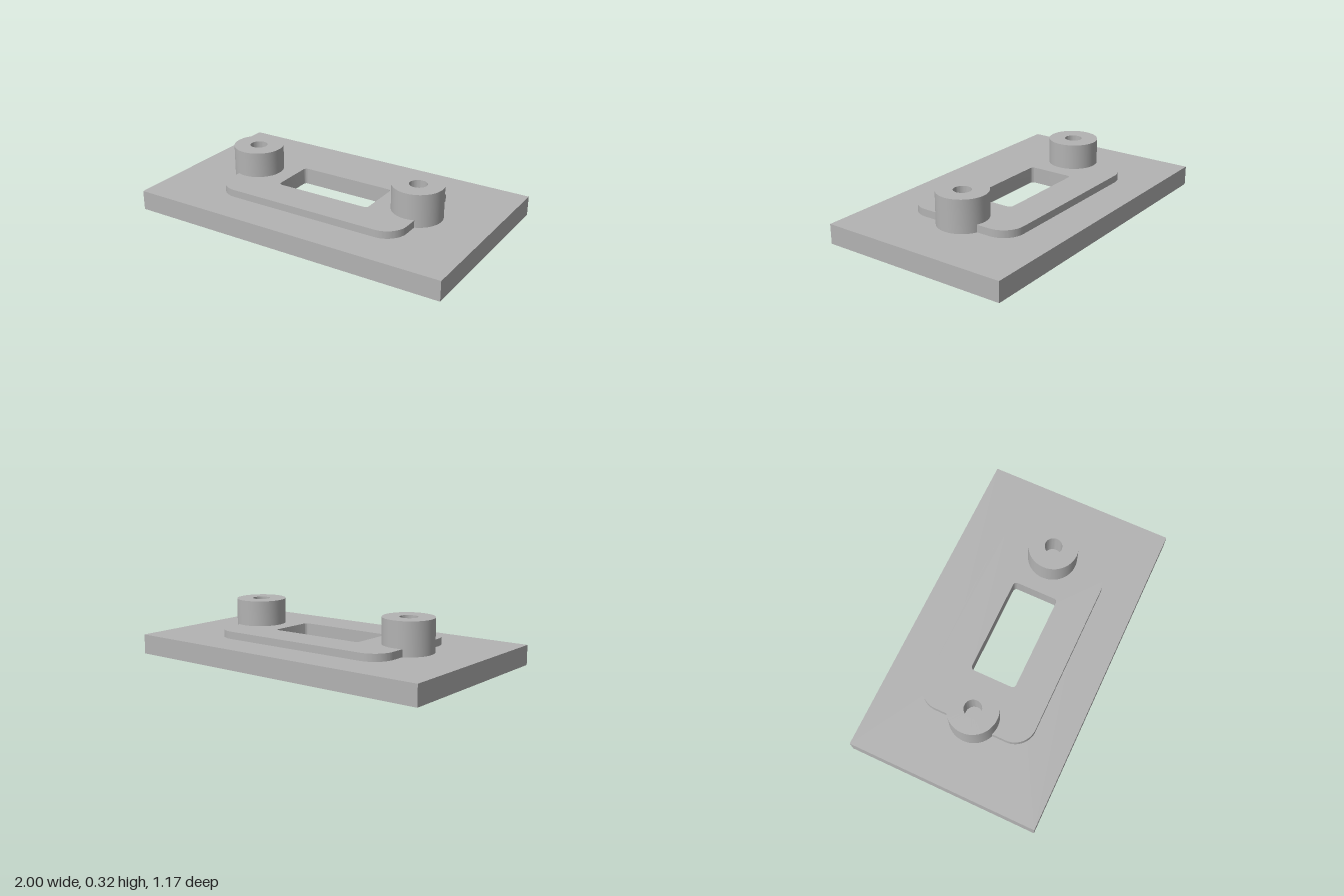
import * as THREE from 'three';
import { toCreasedNormals } from 'three/addons/utils/BufferGeometryUtils.js';

const grey = new THREE.MeshStandardMaterial({ color: 0xb3b3b3 });
grey.name = 'plain grey';

// Rectangle with half sizes a (x) and b (z) and corner radius r
function roundedRect(a, b, r, Type = THREE.Shape) {
  const s = new Type();
  s.moveTo(a, -b + r);
  s.lineTo(a, b - r);
  if (r) s.absarc(a - r, b - r, r, 0, Math.PI / 2);
  s.lineTo(-a + r, b);
  if (r) s.absarc(-a + r, b - r, r, Math.PI / 2, Math.PI);
  s.lineTo(-a, -b + r);
  if (r) s.absarc(-a + r, -b + r, r, Math.PI, Math.PI * 1.5);
  s.lineTo(a - r, -b);
  if (r) s.absarc(a - r, -b + r, r, Math.PI * 1.5, Math.PI * 2);
  return s;
}

// Horizontal slab between two heights with one hole through it
function slab(name, outline, hole, y0, y1) {
  outline.holes.push(hole);
  const g = new THREE.ExtrudeGeometry(outline, { depth: y1 - y0, bevelEnabled: false, curveSegments: 12 });
  g.rotateX(-Math.PI / 2).translate(0, y0, 0);
  const mesh = new THREE.Mesh(toCreasedNormals(g, 0.6), grey);
  mesh.name = name;
  return mesh;
}

export function createModel() {
  const model = new THREE.Group();
  model.name = 'mountingPlate';

  // Base plate, open in the middle to form the pocket underneath
  model.add(slab('basePlate', roundedRect(1, 0.587, 0),
    roundedRect(0.51, 0.26, 0.12, THREE.Path), 0, 0.12));

  // Raised pad that also closes the pocket, with the window through it
  model.add(slab('raisedPad', roundedRect(0.612, 0.358, 0.13),
    roundedRect(0.308, 0.143, 0.022, THREE.Path), 0.065, 0.165));

  // Round bosses with blind screw holes
  const profile = [[0.152, 0.1], [0.152, 0.32], [0.053, 0.32], [0.053, 0.17], [0, 0.17]]
    .map(([x, y]) => new THREE.Vector2(x, y));
  const bossGeometry = toCreasedNormals(new THREE.LatheGeometry(profile, 48), 0.6);
  for (const side of [1, -1]) {
    const boss = new THREE.Mesh(bossGeometry, grey);
    boss.name = side > 0 ? 'leftBoss' : 'rightBoss';
    boss.position.x = side * 0.557;
    model.add(boss);
  }
  return model;
}
